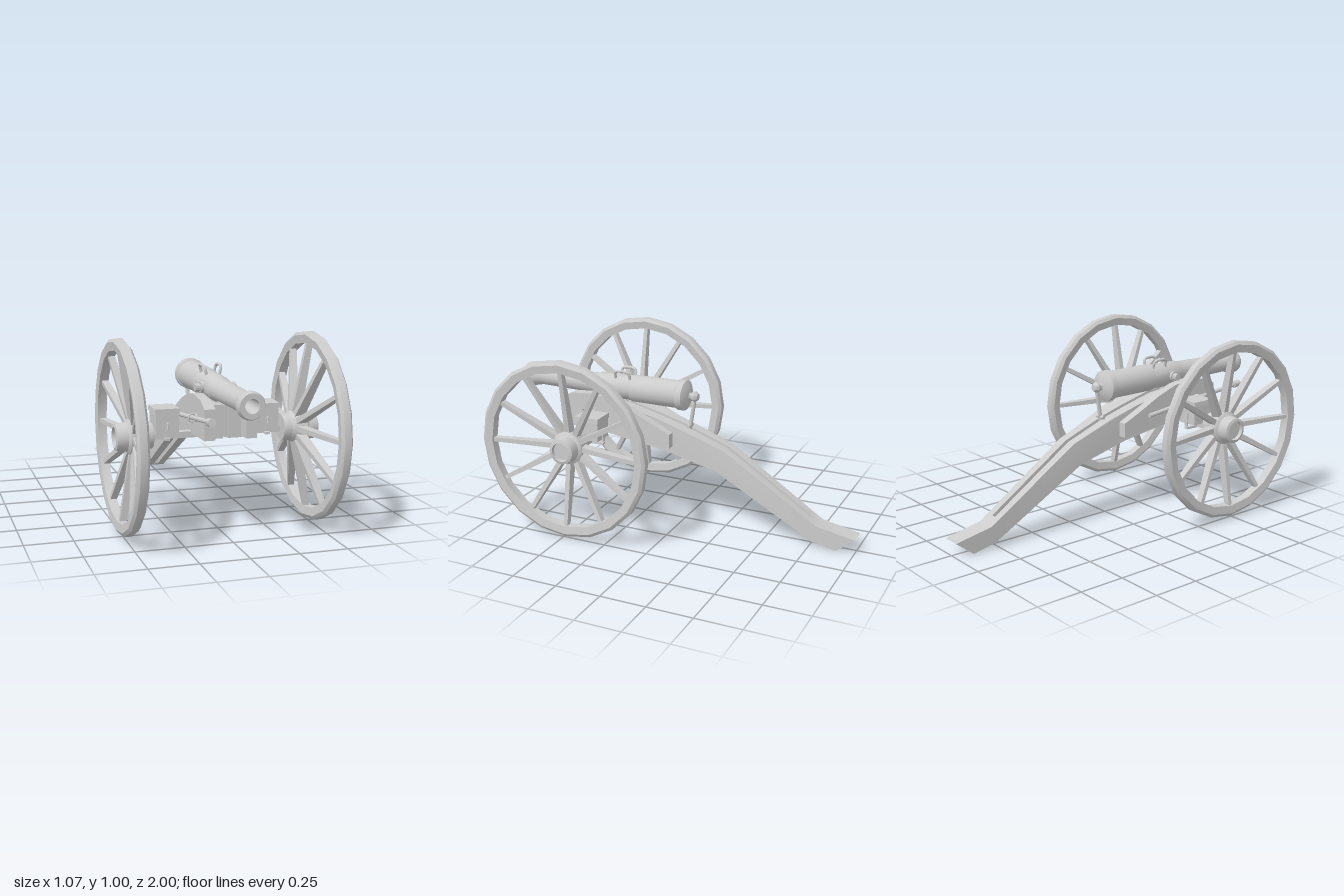
import * as THREE from 'three';
import { toCreasedNormals } from 'three/addons/utils/BufferGeometryUtils.js';

const mat = new THREE.MeshStandardMaterial({ color: 0xcccccc });
const V = (x, y, z) => new THREE.Vector3(x, y, z);

function add(parent, name, geo, x = 0, y = 0, z = 0) {
  const m = new THREE.Mesh(toCreasedNormals(geo, 0.6), mat);
  m.name = name;
  m.position.set(x, y, z);
  parent.add(m);
  return m;
}

const box = (w, h, d) => new THREE.BoxGeometry(w, h, d);
const lathe = (pts, n) => new THREE.LatheGeometry(pts.map(p => new THREE.Vector2(...p)), n);

// Move every vertex by a rule
function bend(geo, rule) {
  const p = geo.attributes.position, v = V(0, 0, 0);
  for (let i = 0; i < p.count; i++) {
    v.fromBufferAttribute(p, i);
    rule(v);
    p.setXYZ(i, v.x, v.y, v.z);
  }
  geo.computeVertexNormals();
  return geo;
}

// Side profile given as [z, y], extruded across x from x0 to x1
function slab(profile, x0, x1) {
  const shape = new THREE.Shape(profile.map(p => new THREE.Vector2(...p)));
  return new THREE.ExtrudeGeometry(shape, { depth: x1 - x0, bevelEnabled: false })
    .rotateY(-Math.PI / 2).translate(x1, 0, 0);
}

// Rod between two points
function rod(a, b, r, n = 10) {
  const d = b.clone().sub(a);
  const g = new THREE.CylinderGeometry(r, r, d.length(), n);
  g.applyQuaternion(new THREE.Quaternion().setFromUnitVectors(V(0, 1, 0), d.normalize()));
  return g.translate((a.x + b.x) / 2, (a.y + b.y) / 2, (a.z + b.z) / 2);
}

// Dished wheel: rim, hub and twelve tapering spokes, outside facing +x
function makeWheel(name) {
  const g = new THREE.Group();
  g.name = name;
  const rim = [[0.432, 0.478], [0.475, 0.472], [0.492, 0.485], [0.492, 0.52],
    [0.475, 0.532], [0.432, 0.526], [0.432, 0.478]];
  add(g, 'rim', lathe(rim, 20).rotateZ(-Math.PI / 2));
  const hub = [[0, 0.345], [0.066, 0.345], [0.07, 0.375], [0.07, 0.385], [0.08, 0.4],
    [0.09, 0.45], [0.09, 0.465], [0.074, 0.475], [0.068, 0.53], [0.052, 0.535], [0.05, 0.515], [0, 0.515]];
  add(g, 'hub', lathe(hub, 20).rotateZ(-Math.PI / 2));
  for (let i = 0; i < 12; i++) {
    const spoke = bend(box(1, 1, 1), v => {
      const t = v.y + 0.5;
      v.x = v.x * (0.055 - 0.022 * t) + 0.428 + 0.07 * t;
      v.z *= 0.03 - 0.008 * t;
      v.y = 0.06 + 0.38 * t;
    });
    add(g, 'spoke', spoke.rotateX(i * Math.PI / 6));
  }
  return g;
}

function makeBarrel() {
  const g = new THREE.Group();
  g.name = 'barrel';
  // Breech to muzzle, then back down the bore
  const profile = [[0, -0.08], [0.018, -0.077], [0.029, -0.06], [0.026, -0.045], [0.016, -0.035],
    [0.02, -0.028], [0.055, -0.022], [0.075, -0.01], [0.084, -0.006], [0.084, 0.03],
    [0.076, 0.035], [0.075, 0.31], [0.07, 0.315], [0.066, 0.52], [0.059, 0.53],
    [0.052, 0.89], [0.056, 0.91], [0.069, 0.965], [0.069, 0.985], [0.062, 1],
    [0.036, 1], [0.033, 0.99], [0.033, 0.7], [0, 0.7]];
  add(g, 'tube', lathe(profile, 20).rotateX(Math.PI / 2));
  add(g, 'trunnions', rod(V(-0.108, 0, 0.445), V(0.108, 0, 0.445), 0.02, 12));
  add(g, 'trunnionShoulders', rod(V(-0.08, 0, 0.445), V(0.08, 0, 0.445), 0.028, 12));
  // Lifting handles
  for (const s of [-1, 1]) {
    const path = new THREE.CatmullRomCurve3([V(s * 0.033, 0.05, 0.32), V(s * 0.043, 0.092, 0.325),
      V(s * 0.046, 0.1, 0.345), V(s * 0.046, 0.1, 0.385), V(s * 0.043, 0.092, 0.405), V(s * 0.033, 0.05, 0.41)]);
    add(g, 'liftingHandle', new THREE.TubeGeometry(path, 16, 0.008, 8));
  }
  g.position.y = 0.73;
  return g;
}

function makeCarriage() {
  const g = new THREE.Group();
  g.name = 'carriage';
  const cheek = [[0.7, 0.51], [0.7, 0.665], [0.63, 0.7], [0.5, 0.71], [0.4, 0.695],
    [0.28, 0.65], [0.16, 0.59], [0.04, 0.535], [0.04, 0.455], [0.4, 0.5]];
  const top = [[0.62, 0.67], [0.32, 0.645], [0.14, 0.6], [0, 0.56], [-0.26, 0.465], [-0.74, 0.152]];
  const bottom = [[-0.74, 0.043], [-0.215, 0.34], [0.09, 0.42], [0.4, 0.47], [0.62, 0.5]];
  const heel = [[-0.74, 0.152], [-0.79, 0.12], [-1, 0.08], [-0.9, 0], [-0.76, 0.03], [-0.74, 0.043]];
  // Trail half-width along z
  const width = z => z > 0.04 ? 0.087 - Math.max(0, 0.3 - z) * 0.06 : 0.07 + 0.02 * z;
  const taper = v => { if (Math.abs(v.x) > 0.05) v.x = Math.sign(v.x) * width(v.z); };

  for (const s of [-1, 1]) {
    const [a, b] = s > 0 ? [0.08, 0.13] : [-0.13, -0.08];
    add(g, 'cheek', bend(slab(cheek, a, b), v => {
      if (Math.abs(v.x) > 0.1) v.x = s * (0.125 + 0.016 * v.z);
    }));
    const [c, d] = s > 0 ? [0.013, 0.1] : [-0.1, -0.013];
    add(g, 'trailBeam', bend(slab([...top, ...bottom], c, d), taper));
    // Ring on a bolt for the tools
    add(g, 'ringBolt', rod(V(s * 0.12, 0.6, 0.56), V(s * 0.143, 0.6, 0.56), 0.02, 10));
    add(g, 'toolRing', new THREE.TorusGeometry(0.019, 0.004, 6, 18), s * 0.156, 0.6, 0.56);
  }
  add(g, 'trailHeel', bend(slab(heel, -0.1, 0.1), taper));
  add(g, 'frontTransom', box(0.03, 0.16, 0.2), 0, 0.587, 0.515);
  add(g, 'elevatingRod', rod(V(0, 0.52, -0.025), V(0, 0.71, -0.055), 0.011));
  add(g, 'elevatingCrossbar', rod(V(-0.03, 0.56, -0.03), V(0.03, 0.56, -0.03), 0.01));
  return g;
}

// Ammunition chest strapped onto the axle
function makeChest(x) {
  const g = new THREE.Group();
  g.name = 'chest';
  add(g, 'chestBody', box(0.118, 0.115, 0.13), 0, 0.568, 0);
  add(g, 'chestLid', bend(box(0.13, 0.026, 0.14), v => {
    if (v.y > 0) v.x *= 0.97;
  }), 0, 0.627, 0);
  for (const s of [-1, 1]) {
    add(g, 'strap', box(0.02, 0.07, 0.008), 0, 0.53, s * 0.068);
    add(g, 'strapTip', new THREE.CylinderGeometry(0.004, 0.009, 0.035, 8), 0, 0.555, s * 0.068);
  }
  add(g, 'strapBase', box(0.024, 0.012, 0.14), 0, 0.484, 0);
  g.position.set(x, 0, 0.435);
  return g;
}

export function createModel() {
  const model = new THREE.Group();
  model.name = 'fieldCannon';
  model.add(makeBarrel(), makeCarriage(), makeChest(0.266), makeChest(-0.266));

  const left = makeWheel('leftWheel');
  const right = makeWheel('rightWheel');
  right.rotation.y = Math.PI;
  for (const w of [left, right]) {
    w.position.set(0, 0.507, 0.478);
    model.add(w);
  }
  add(model, 'axle', box(0.74, 0.032, 0.042), 0, 0.497, 0.455);

  // Rammer carried along the right cheek
  const rammer = new THREE.Group();
  rammer.name = 'rammer';
  const butt = V(-0.156, 0.56, 0.19), neck = V(-0.156, 0.634, 0.84), tip = V(-0.156, 0.64, 0.885);
  add(rammer, 'rammerShaft', rod(butt, neck, 0.012));
  add(rammer, 'rammerHead', rod(neck, tip, 0.02, 12));
  model.add(rammer);
  return model;
}
